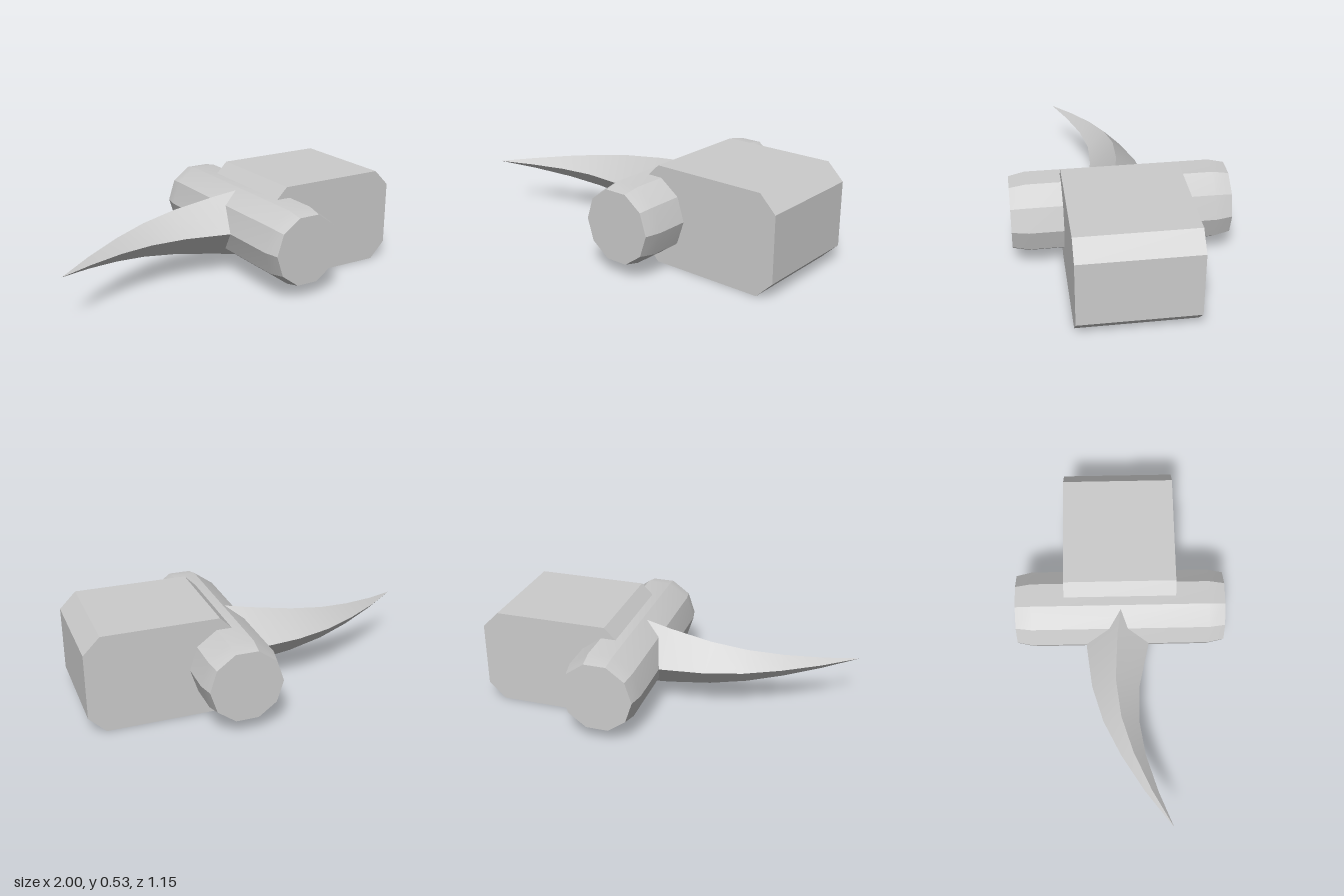
import * as THREE from 'three';
import { toCreasedNormals } from 'three/addons/utils/BufferGeometryUtils.js';

const MID_Y = 0.268;
const CREASE = Math.PI / 7;

// Curved pick: diamond cross-sections [x, back z, front z] from the tip inwards
function spikeGeometry() {
  const sections = [
    [-1, 0.26, 0.26], [-0.81, 0.115, 0.184], [-0.61, -0.01, 0.122], [-0.42, -0.103, 0.092],
    [-0.22, -0.162, 0.1], [0.02, -0.19, 0.155], [0.17, -0.19, 0.2],
  ];
  const rings = sections.map(([x, back, front]) => {
    const h = 0.165 * (x + 1), mid = (back + front) / 2;
    return [[x, MID_Y + h, mid], [x, MID_Y, front], [x, MID_Y - h, mid], [x, MID_Y, back]];
  });
  const pos = [];
  const tri = (...corners) => corners.forEach((p) => pos.push(...p));
  for (let i = 0; i < rings.length - 1; i++) {
    for (let k = 0; k < 4; k++) {
      const n = (k + 1) % 4, r = rings[i], s = rings[i + 1];
      tri(r[k], s[n], s[k]);
      if (i > 0) tri(r[k], r[n], s[n]);
    }
  }
  // Closed base, buried in the barrel
  const e = rings[rings.length - 1];
  tri(e[0], e[1], e[2]);
  tri(e[0], e[2], e[3]);
  const geo = new THREE.BufferGeometry();
  geo.setAttribute('position', new THREE.Float32BufferAttribute(pos, 3));
  return toCreasedNormals(geo, CREASE);
}

// Ten-sided barrel along z with tapered ends
function barrelGeometry() {
  const profile = [[0, -0.577], [0.196, -0.577], [0.215, -0.49], [0.215, 0.49], [0.196, 0.577], [0, 0.577]]
    .map(([r, y]) => new THREE.Vector2(r, y));
  const geo = new THREE.LatheGeometry(profile, 10, Math.PI / 2);
  geo.rotateX(Math.PI / 2);
  geo.translate(0.243, MID_Y, 0);
  return toCreasedNormals(geo, CREASE);
}

// Hammer block with four chamfered edges
function blockGeometry() {
  const x0 = 0.2, x1 = 1, y0 = 0.003, y1 = 0.535, c = 0.09, depth = 0.616;
  const shape = new THREE.Shape([
    [x0 + c, y0], [x1 - c, y0], [x1, y0 + c], [x1, y1 - c],
    [x1 - c, y1], [x0 + c, y1], [x0, y1 - c], [x0, y0 + c],
  ].map(([x, y]) => new THREE.Vector2(x, y)));
  const geo = new THREE.ExtrudeGeometry(shape, { depth, bevelEnabled: false });
  geo.translate(0, 0, -depth / 2);
  return geo;
}

export function createModel() {
  const model = new THREE.Group();
  model.name = 'hammerHead';
  const grey = new THREE.MeshStandardMaterial({ color: 0xcccccc });
  grey.name = 'lightGrey';
  const add = (name, geo) => {
    const mesh = new THREE.Mesh(geo, grey);
    mesh.name = name;
    model.add(mesh);
  };
  add('barrel', barrelGeometry());
  add('hammerBlock', blockGeometry());
  add('curvedSpike', spikeGeometry());
  return model;
}
